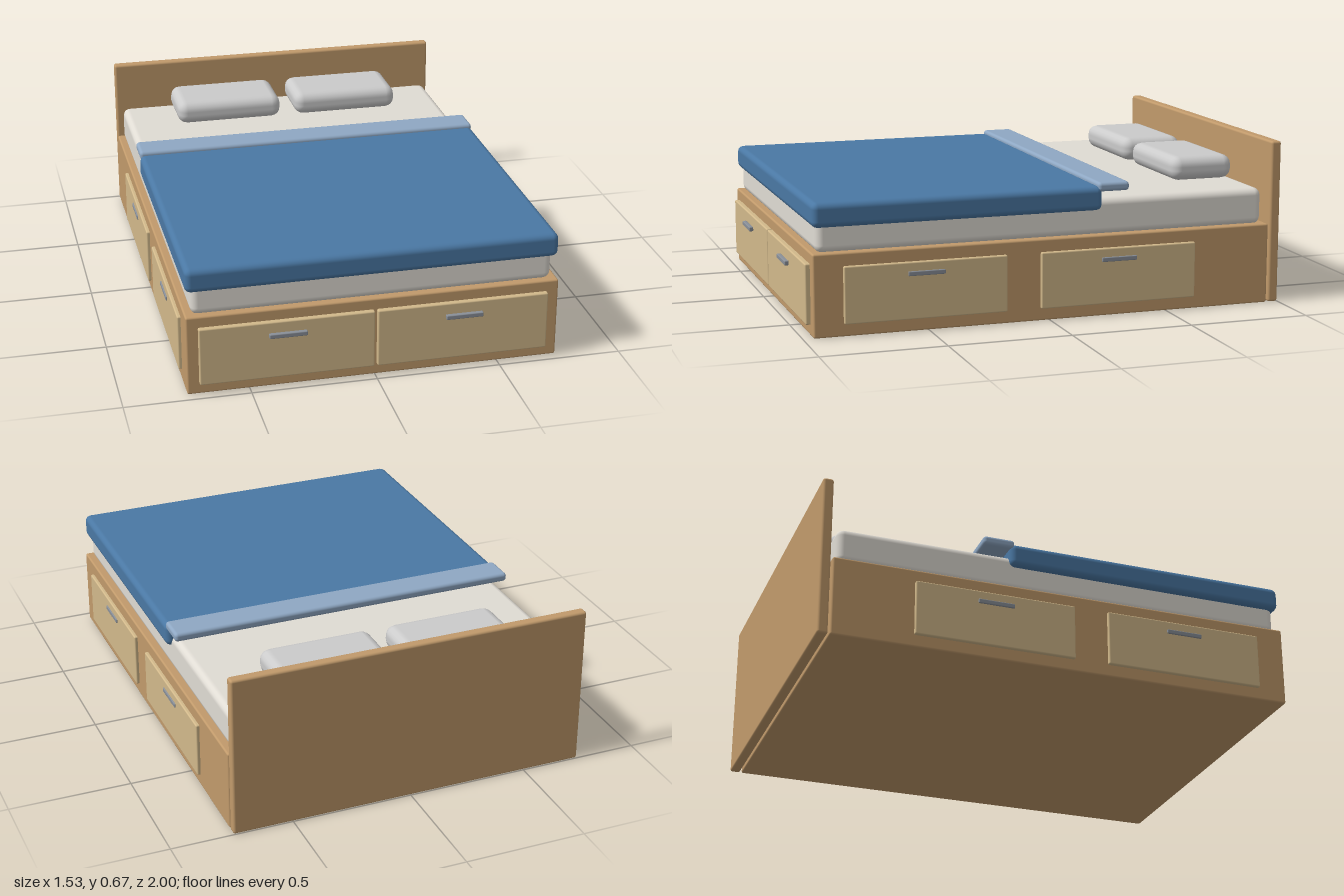
import * as THREE from 'three';
import { RoundedBoxGeometry } from 'three/addons/geometries/RoundedBoxGeometry.js';

const material = (color) => new THREE.MeshStandardMaterial({ color });

export function createModel() {
  const bed = new THREE.Group();
  bed.name = 'storageBed';

  const wood = material(0xc19a6b);
  const paleWood = material(0xd2b98b);
  const metal = material(0x8a9099);
  const sheet = material(0xe0dcd4);
  const blue = material(0x4a78a4);
  const paleBlue = material(0x8fa8c4);
  const grey = material(0xcccccc);

  // Rounded block given by its min and max along each axis
  function block(name, [x0, x1], [y0, y1], [z0, z1], radius, mat, parent = bed) {
    const geometry = new RoundedBoxGeometry(x1 - x0, y1 - y0, z1 - z0, 2, radius);
    const mesh = new THREE.Mesh(geometry, mat);
    mesh.position.set((x0 + x1) / 2, (y0 + y1) / 2, (z0 + z1) / 2);
    mesh.name = name;
    parent.add(mesh);
    return mesh;
  }

  // Base and headboard
  block('baseFrame', [-0.745, 0.745], [0, 0.33], [-0.95, 0.96], 0.008, wood);
  block('headboard', [-0.745, 0.745], [0, 0.67], [-1, -0.957], 0.01, wood);

  // Bedding
  block('mattress', [-0.72, 0.72], [0.325, 0.475], [-0.93, 0.94], 0.03, sheet);
  block('blanket', [-0.742, 0.742], [0.427, 0.525], [-0.225, 0.957], 0.025, blue);
  block('blanketFold', [-0.74, 0.74], [0.503, 0.54], [-0.338, -0.206], 0.014, paleBlue);
  for (const [side, s] of [['left', 1], ['right', -1]]) {
    const x = s * 0.268;
    block(side + 'Pillow', [x - 0.235, x + 0.235], [0.48, 0.58], [-0.902, -0.628], 0.042, grey);
  }

  // Drawer front with a bar handle, built facing +z at the surface of the base
  function drawer(name, width, y0, y1, thickness, handleFrom, handleTo) {
    const group = new THREE.Group();
    group.name = name;
    block('drawerFront', [-width / 2, width / 2], [y0, y1], [-0.006, thickness], 0.006, paleWood, group);
    block('drawerHandle', [-0.075, 0.075], [0.223, 0.242], [handleFrom, handleTo], 0.004, metal, group);
    bed.add(group);
    return group;
  }

  for (const [side, s] of [['left', 1], ['right', -1]]) {
    // Foot end drawer
    const front = drawer(side + 'FootDrawer', 0.692, 0.045, 0.285, 0.02, 0.022, 0.04);
    front.position.set(s * 0.352, 0, 0.96);

    // Two drawers along each long side
    [0.511, -0.29].forEach((z, i) => {
      const d = drawer(side + 'SideDrawer' + (i + 1), 0.66, 0.05, 0.278, 0.014, 0.008, 0.019);
      d.position.set(s * 0.745, 0, z);
      d.rotation.y = s * Math.PI / 2;
    });
  }

  return bed;
}
